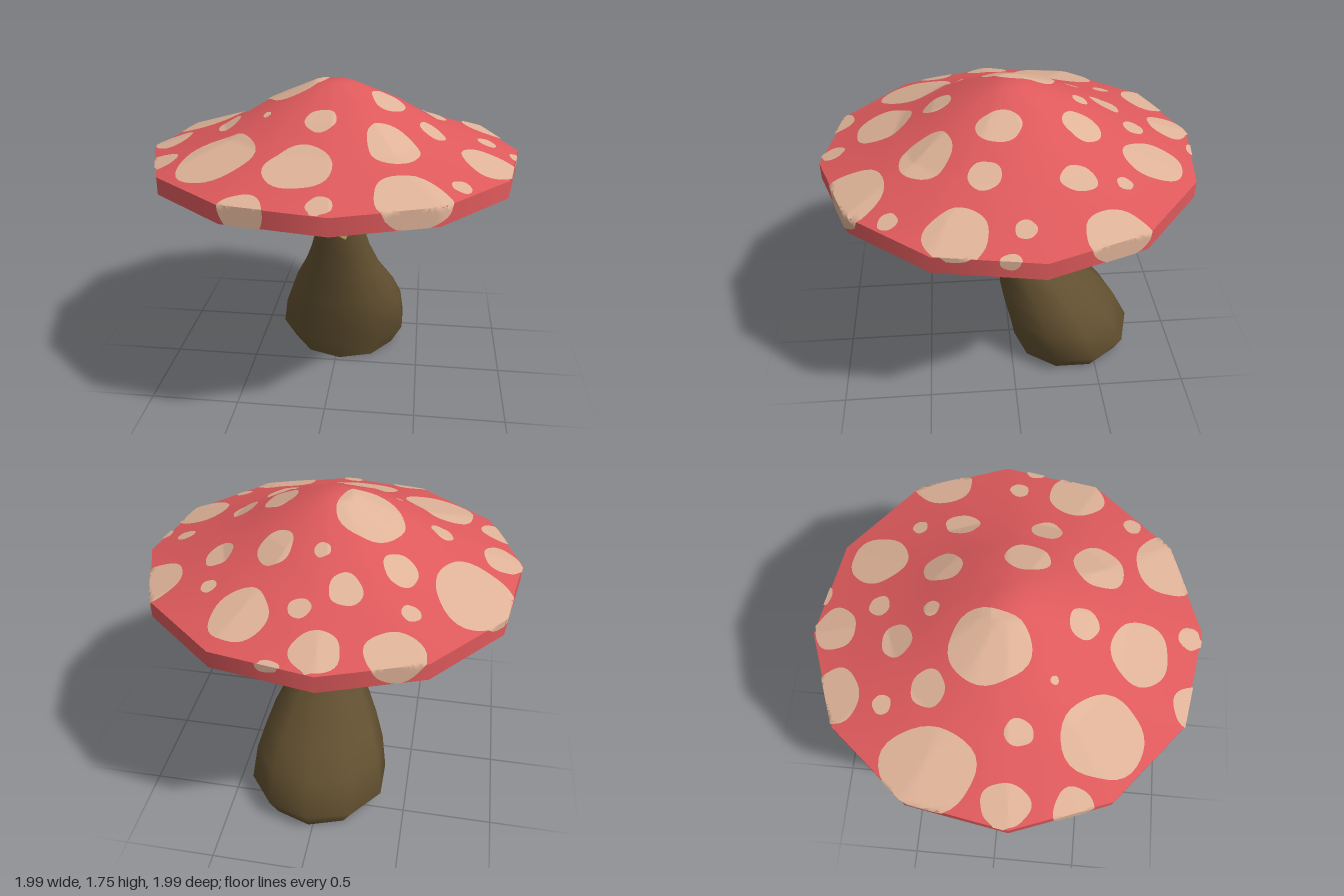
import * as THREE from 'three';

const mat = (name, color) => Object.assign(new THREE.MeshStandardMaterial({ color }), { name });
const SIDES = 12, START = 0.09;

// Radius of a unit regular polygon at angle a (measured from +z towards +x)
function polyRadius(a, sides, start) {
  const step = (Math.PI * 2) / sides;
  const d = (((a - start) % step) + step) % step;
  return Math.cos(step / 2) / Math.cos(d - step / 2);
}

// Piecewise linear lookup in rows sorted by their first value
function lookup(rows, v) {
  let i = 0;
  while (i < rows.length - 2 && v > rows[i + 1][0]) i++;
  const p = rows[i], q = rows[i + 1];
  const f = THREE.MathUtils.clamp((v - p[0]) / (q[0] - p[0]), 0, 1);
  return p.map((n, k) => n + (q[k] - n) * f);
}

// Closed tube surface: point(column, row) gives [x, y, z]
function tubeGrid(cols, rows, point) {
  const pos = [], idx = [];
  for (let j = 0; j <= rows; j++) for (let i = 0; i < cols; i++) pos.push(...point(i, j));
  for (let j = 0; j < rows; j++) for (let i = 0; i < cols; i++) {
    const a = j * cols + i, b = j * cols + ((i + 1) % cols);
    idx.push(a, b, a + cols, b + cols, a + cols, b);
  }
  const g = new THREE.BufferGeometry();
  g.setAttribute('position', new THREE.Float32BufferAttribute(pos, 3));
  g.setIndex(idx);
  g.computeVertexNormals();
  return g;
}

// Cap profiles as [radius, height]
const TOP = [[0, 1.745], [0.1, 1.745], [0.4, 1.615], [0.6, 1.5], [1, 1.37]];
const GILLS = [[0, 1.33], [0.58, 1.31], [0.82, 1.235]];

// Points on the cap's upper skin (folding down the rim) and on the gills
function onTop(x, z) {
  const a = Math.atan2(x, z), p = polyRadius(a, SIDES, START);
  let t = Math.hypot(x, z) / p;
  if (Math.abs(t - 1) < 0.012) t = 1;
  const y = t > 1 ? Math.max(1.281, 1.37 - (t - 1)) : lookup(TOP, t)[1];
  const r = Math.min(t, 1) * p + 0.005;
  return [Math.sin(a) * r, y + (t > 1 ? 0 : 0.005), Math.cos(a) * r];
}
function onGills(x, z) {
  const a = Math.atan2(x, z), p = polyRadius(a, SIDES, START);
  const t = Math.min(Math.hypot(x, z) / p, 0.81);
  return [Math.sin(a) * t * p, lookup(GILLS, t)[1] - 0.005, Math.cos(a) * t * p];
}

// Thin round patch laid over a surface
function patch([cx, cz, rx, rz = rx], seed, turn, surface, faceUp) {
  const g = new THREE.RingGeometry(0, 1, 32, 12);
  g.rotateX(faceUp ? -Math.PI / 2 : Math.PI / 2);
  const p = g.attributes.position, c = Math.cos(turn), s = Math.sin(turn);
  for (let i = 0; i < p.count; i++) {
    const a = Math.atan2(p.getX(i), p.getZ(i));
    const w = 1 + 0.03 * Math.sin(3 * a + seed) + 0.02 * Math.sin(5 * a + seed * 2);
    const x = p.getX(i) * rx * w, z = p.getZ(i) * rz * w;
    p.setXYZ(i, ...surface(cx + x * c + z * s, cz - x * s + z * c));
  }
  g.computeVertexNormals();
  return g;
}

// Spots: x, z, x radius, z radius
const SPOTS = [
  [-0.75, -0.32, 0.2, 0.235], [-0.2, -0.07, 0.17, 0.195], [-0.53, 0.5, 0.195, 0.205],
  [-0.095, 0.66, 0.165, 0.15], [-0.88, 0.065, 0.1, 0.12], [-0.555, 0.1, 0.06, 0.07],
  [-0.385, -0.345, 0.085], [-0.46, -0.57, 0.047], [-0.15, -0.53, 0.08],
  [-0.07, -0.87, 0.115, 0.11], [0.045, -0.65, 0.055], [-0.01, -0.365, 0.04],
  [0.32, -0.7, 0.14, 0.155], [0.225, -0.34, 0.088, 0.1], [0.525, -0.51, 0.04],
  [0.535, -0.285, 0.07, 0.09], [0.285, 0.07, 0.088, 0.113], [0.52, 0.155, 0.068, 0.08],
];
const MORE_SPOTS = [
  [0.815, -0.01, 0.05], [-0.025, 0.365, 0.078, 0.075], [0.33, 0.43, 0.13, 0.133],
  [-0.315, 0.245, 0.02], [0.665, 0.61, 0.048], [0.81, 0.3, 0.14, 0.15],
  [0.445, 0.8, 0.185, 0.17], [0.04, 0.92, 0.06], [-0.32, 0.95, 0.11],
  [-0.88, 0.39, 0.115, 0.1], [-0.42, -0.82, 0.14, 0.13], [0.84, -0.43, 0.14, 0.16],
  [0.13, -0.96, 0.06, 0.03], [0.97, 0.07, 0.04, 0.05],
];

// Stem sections: height, min x, max x, min z, max z
const STEM = [
  [0, -0.29, 0.34, -0.7, -0.03], [0.11, -0.365, 0.405, -0.745, -0.01],
  [0.29, -0.335, 0.385, -0.655, 0.03], [0.43, -0.285, 0.335, -0.54, 0.055],
  [0.61, -0.2, 0.245, -0.345, 0.07], [0.76, -0.145, 0.195, -0.22, 0.105],
  [0.9, -0.105, 0.16, -0.125, 0.11], [1.05, -0.07, 0.115, -0.06, 0.118],
  [1.22, -0.055, 0.1, -0.025, 0.118], [1.34, -0.055, 0.1, -0.02, 0.118],
];
const STEM_SIDES = 10;

function onStem(a, y, lift = 0) {
  const [, x0, x1, z0, z1] = lookup(STEM, y), p = polyRadius(a, STEM_SIDES, 0);
  return [
    (x0 + x1) / 2 + Math.sin(a) * p * (((x1 - x0) / 2) * 1.04 + lift), y,
    (z0 + z1) / 2 + Math.cos(a) * p * ((z1 - z0) / 2 + lift),
  ];
}

// Lower edge of the pale stem top, every 18 degrees from the front
const DRIPS = [0.9, 0.87, 0.95, 1.0, 1.09, 1.03, 0.9, 0.78, 0.93, 0.73,
  1.1, 1.13, 1.13, 1.13, 1.12, 1.1, 0.97, 0.92, 1.02, 0.98];

export function createModel() {
  const red = mat('cap red', 0xdf5a5c), cream = mat('spot cream', 0xdfb398);
  const brown = mat('stem brown', 0x625030), yellow = mat('pale yellow', 0xc4b062);
  const grey = mat('base grey', 0xb8b8b8);
  const model = new THREE.Group();
  model.name = 'mushroom';

  const add = (name, geometry, material, parent = model) => {
    const m = new THREE.Mesh(geometry, material);
    m.name = name;
    parent.add(m);
    return m;
  };
  const lathe = (points) =>
    new THREE.LatheGeometry(points.map(([r, y]) => new THREE.Vector2(r, y)), SIDES, START);

  // Cap shell
  const cap = new THREE.Group();
  cap.name = 'cap';
  model.add(cap);
  add('capTop', lathe([...TOP].reverse()), red, cap);
  add('capRim', lathe([[1, 1.28], [1, 1.37]]), red, cap);
  add('capLip', lathe([[0.82, 1.235], [1, 1.28]]), brown, cap);
  add('gills', lathe(GILLS), brown, cap);

  // Cap spots
  const spots = new THREE.Group();
  spots.name = 'spots';
  cap.add(spots);
  [...SPOTS, ...MORE_SPOTS].forEach((s, i) => add('spot', patch(s, i * 1.7, 0, onTop, true), cream, spots));

  // One pale patch on each gill segment
  for (let i = 0; i < SIDES; i++) {
    const a = START + ((i + 0.5) * Math.PI * 2) / SIDES;
    const at = [Math.sin(a) * 0.65, Math.cos(a) * 0.65, 0.135, 0.115];
    add('gillPatch', patch(at, i * 2.3, a, onGills, false), yellow, cap);
  }

  // Leaning stem
  const angle = (i, n) => (i / n) * Math.PI * 2;
  add('stem', tubeGrid(STEM_SIDES, STEM.length - 1,
    (i, j) => onStem(angle(i, STEM_SIDES), STEM[j][0])), brown);

  // Pale stem top with drips
  const cols = 80, rows = 14;
  add('stemTop', tubeGrid(cols, rows, (i, j) => {
    const k = Math.floor(i / 4);
    const low = THREE.MathUtils.lerp(DRIPS[k], DRIPS[(k + 1) % DRIPS.length], (i % 4) / 4);
    return onStem(angle(i, cols), THREE.MathUtils.lerp(low, 1.335, j / rows), 0.006);
  }), yellow);

  // Flat underside of the stem
  const base = new THREE.CircleGeometry(1, STEM_SIDES, Math.PI / 2);
  base.rotateX(Math.PI / 2);
  base.scale(0.315 * 1.04, 1, 0.335);
  base.translate(0.025, 0, -0.365);
  add('stemBase', base, grey);

  return model;
}
